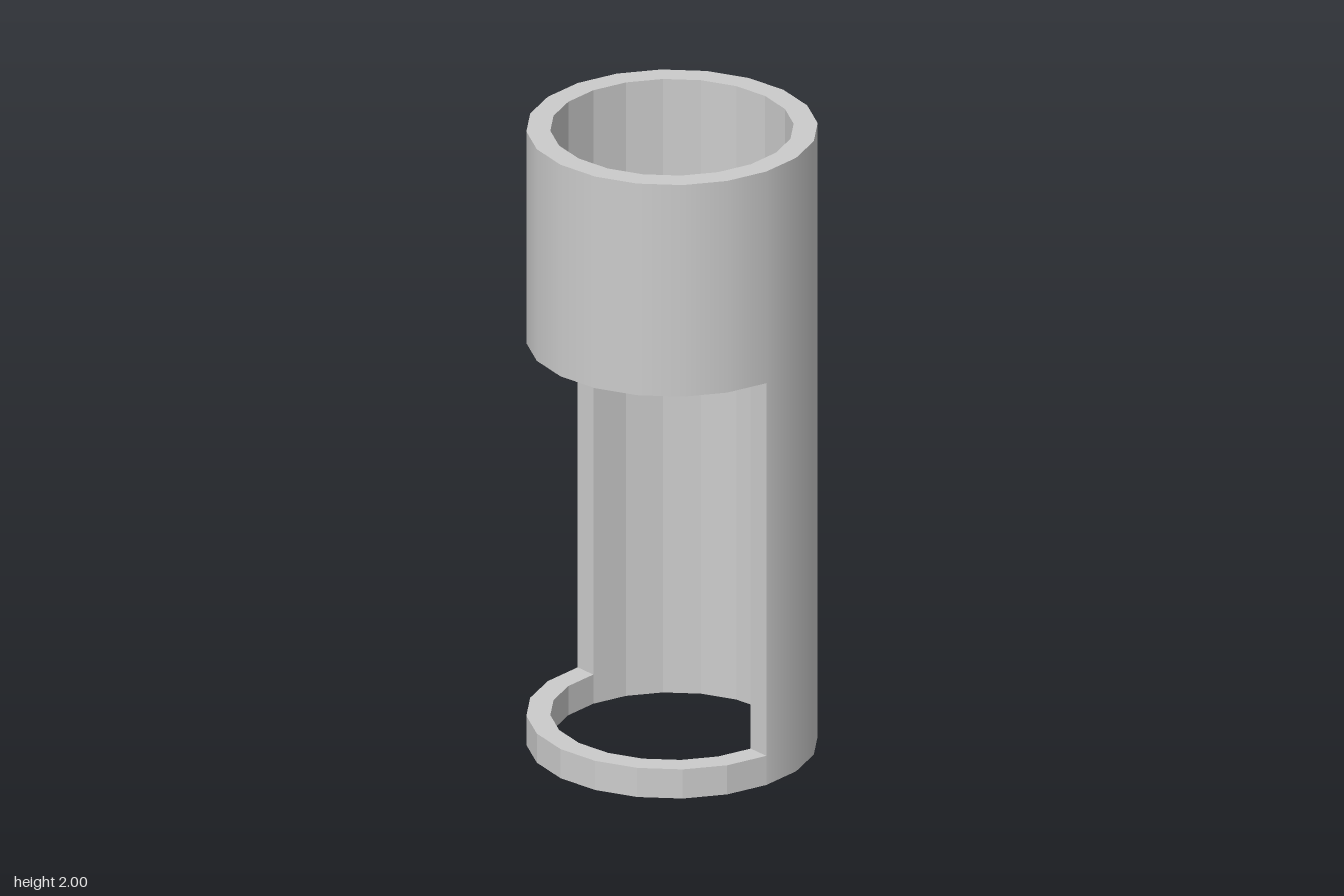
import * as THREE from 'three';

const OUTER = 0.437, INNER = 0.365, SIDES = 20;
const BASE_TOP = 0.095, WINDOW_TOP = 1.31, TOP = 2;
const smooth = new THREE.MeshStandardMaterial({ color: 0xcccccc });
const flat = new THREE.MeshStandardMaterial({ color: 0xcccccc, flatShading: true });

function add(group, name, geometry, material) {
  const mesh = new THREE.Mesh(geometry, material);
  mesh.name = name;
  group.add(mesh);
  return mesh;
}

// Open cylinder wall; angles start at the front (+z) and run towards +x
function wall(radius, y0, y1, start, length) {
  const sides = Math.round(SIDES * length / (Math.PI * 2));
  return new THREE.CylinderGeometry(radius, radius, y1 - y0, sides, 1, true, start, length)
    .translate(0, (y0 + y1) / 2, 0);
}

// Inner wall: mirrored so its faces point to the axis, one normal per facet
function innerWall(y0, y1, start, length) {
  const g = wall(INNER, y0, y1, start, length).scale(-1, 1, 1).toNonIndexed();
  g.computeVertexNormals();
  return g;
}

// Flat rim at height y, whole or only the front half
function rim(y, up, frontOnly) {
  const length = frontOnly ? Math.PI : Math.PI * 2;
  return new THREE.RingGeometry(INNER, OUTER, frontOnly ? SIDES / 2 : SIDES, 1, up ? Math.PI : 0, length)
    .rotateX(up ? -Math.PI / 2 : Math.PI / 2)
    .translate(0, y, 0);
}

export function createModel() {
  const model = new THREE.Group();
  model.name = 'tubeHolder';
  const full = Math.PI * 2, half = Math.PI, quarter = Math.PI / 2;

  // Closed upper sleeve
  const sleeve = new THREE.Group();
  sleeve.name = 'upperSleeve';
  add(sleeve, 'sleeveOuterWall', wall(OUTER, WINDOW_TOP, TOP, 0, full), smooth);
  add(sleeve, 'sleeveInnerWall', innerWall(WINDOW_TOP, TOP, 0, full), flat);
  add(sleeve, 'topRim', rim(TOP, true, false), flat);
  add(sleeve, 'windowTopEdge', rim(WINDOW_TOP, false, true), flat);

  // Half-round back wall behind the window
  const back = new THREE.Group();
  back.name = 'backWall';
  add(back, 'backOuterWall', wall(OUTER, BASE_TOP, WINDOW_TOP, quarter, half), smooth);
  add(back, 'backInnerWall', innerWall(BASE_TOP, WINDOW_TOP, quarter, half), flat);
  for (const side of [-1, 1]) {
    const edge = new THREE.PlaneGeometry(OUTER - INNER, WINDOW_TOP - BASE_TOP);
    add(back, side > 0 ? 'leftWindowEdge' : 'rightWindowEdge', edge, flat)
      .position.set(side * (OUTER + INNER) / 2, (BASE_TOP + WINDOW_TOP) / 2, 0);
  }

  // Thin base ring, faceted at the front and smooth at the back
  const base = new THREE.Group();
  base.name = 'baseRing';
  add(base, 'baseFrontWall', wall(OUTER, 0, BASE_TOP, -quarter, half), flat);
  add(base, 'baseBackWall', wall(OUTER, 0, BASE_TOP, quarter, half), smooth);
  add(base, 'baseInnerWall', innerWall(0, BASE_TOP, 0, full), flat);
  add(base, 'windowSill', rim(BASE_TOP, true, true), flat);
  add(base, 'bottomRim', rim(0, false, false), flat);

  model.add(sleeve, back, base);
  return model;
}
